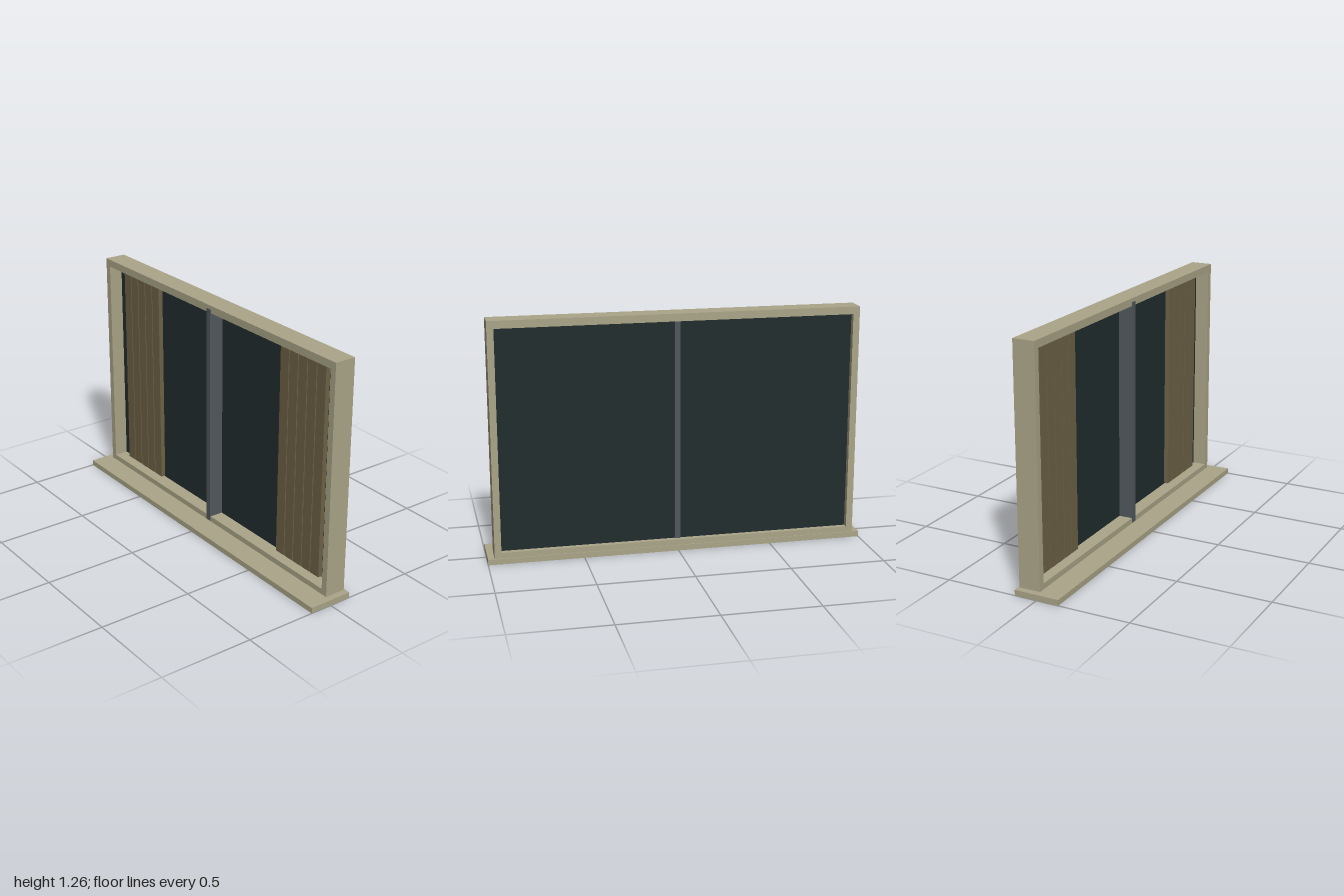
import * as THREE from 'three';

const mat = (name, color) => {
  const m = new THREE.MeshStandardMaterial({ color });
  m.name = name;
  return m;
};

export function createModel() {
  const group = new THREE.Group();
  const stone = mat('beige frame', 0xaaa588);
  const glass = mat('dark glass', 0x222d2e);
  const metal = mat('grey metal', 0x50585d);
  const cloth = mat('brown curtain', 0x6e6347);

  // Box given by its extents on each axis
  const box = (name, material, [x0, x1], [y0, y1], [z0, z1], parent = group) => {
    const mesh = new THREE.Mesh(new THREE.BoxGeometry(x1 - x0, y1 - y0, z1 - z0), material);
    mesh.position.set((x0 + x1) / 2, (y0 + y1) / 2, (z0 + z1) / 2);
    mesh.name = name;
    parent.add(mesh);
    return mesh;
  };
  const rect = (PathType, x, y0, y1) => new PathType([
    new THREE.Vector2(-x, y0), new THREE.Vector2(x, y0),
    new THREE.Vector2(x, y1), new THREE.Vector2(-x, y1),
  ]);

  // Sill
  box('sill', stone, [-1, 1], [0, 0.03], [-0.12, 0.12]);

  // Outer frame with a single opening
  const outline = rect(THREE.Shape, 0.965, 0.03, 1.265);
  outline.holes.push(rect(THREE.Path, 0.93, 0.06, 1.225));
  const frame = new THREE.Mesh(
    new THREE.ExtrudeGeometry(outline, { depth: 0.115, bevelEnabled: false }), stone);
  frame.position.z = -0.115;
  frame.name = 'frame';
  group.add(frame);

  // Glass and the central mullion with its cover strip
  box('glassPane', glass, [-0.93, 0.93], [0.06, 1.225], [-0.085, -0.075]);
  box('mullion', metal, [-0.015, 0.015], [0.06, 1.225], [-0.093, 0]);
  box('mullionCover', metal, [-0.015, 0.015], [0.035, 1.245], [0, 0.005]);

  // Gathered curtains, five folds on each side
  for (const side of [-1, 1]) {
    const curtain = new THREE.Group();
    curtain.name = side > 0 ? 'leftCurtain' : 'rightCurtain';
    for (let i = 0; i < 5; i++) {
      const x = side * (0.55 + i * 0.0675);
      box('fold', cloth, [x - 0.031, x + 0.031], [0.07, 1.21], [-0.07, -0.045], curtain);
    }
    group.add(curtain);
  }
  return group;
}
